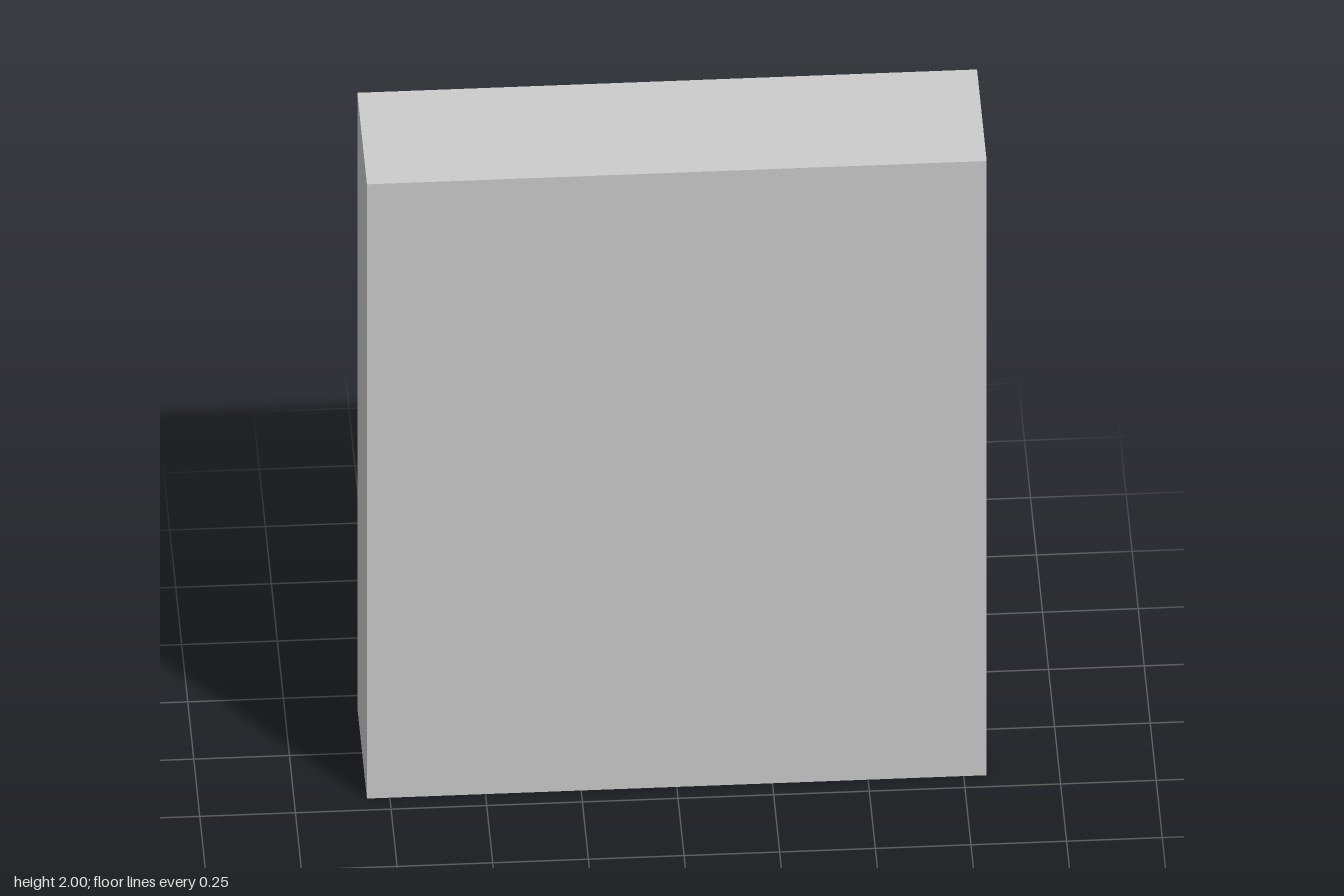
import * as THREE from 'three';

const W = 1.62, H = 2, D = 0.4;
const wall = 0.04;          // outer board thickness
const panel = 0.06;         // closed front panel thickness
const bays = 4, pitch = H / bays;

// Rectangle corners as a closed outline
function rect(Type, x0, y0, x1, y1) {
  return new Type([
    new THREE.Vector2(x0, y0), new THREE.Vector2(x1, y0),
    new THREE.Vector2(x1, y1), new THREE.Vector2(x0, y1),
  ]);
}

export function createModel() {
  const group = new THREE.Group();
  group.name = 'bookcase';
  const material = new THREE.MeshStandardMaterial({ color: 0xcccccc });

  // Sides, top, base and shelves as one frame with four open bays
  const outline = rect(THREE.Shape, -W / 2, 0, W / 2, H);
  for (let i = 0; i < bays; i++) {
    outline.holes.push(rect(THREE.Path,
      -W / 2 + wall, i * pitch + wall, W / 2 - wall, (i + 1) * pitch - wall));
  }
  const frame = new THREE.Mesh(
    new THREE.ExtrudeGeometry(outline, { depth: D - panel, bevelEnabled: false }), material);
  frame.name = 'shelfFrame';
  frame.position.z = -D / 2;
  group.add(frame);

  // Solid panel closing the +z face
  const front = new THREE.Mesh(new THREE.BoxGeometry(W, H, panel), material);
  front.name = 'closingPanel';
  front.position.set(0, H / 2, D / 2 - panel / 2);
  group.add(front);

  return group;
}
